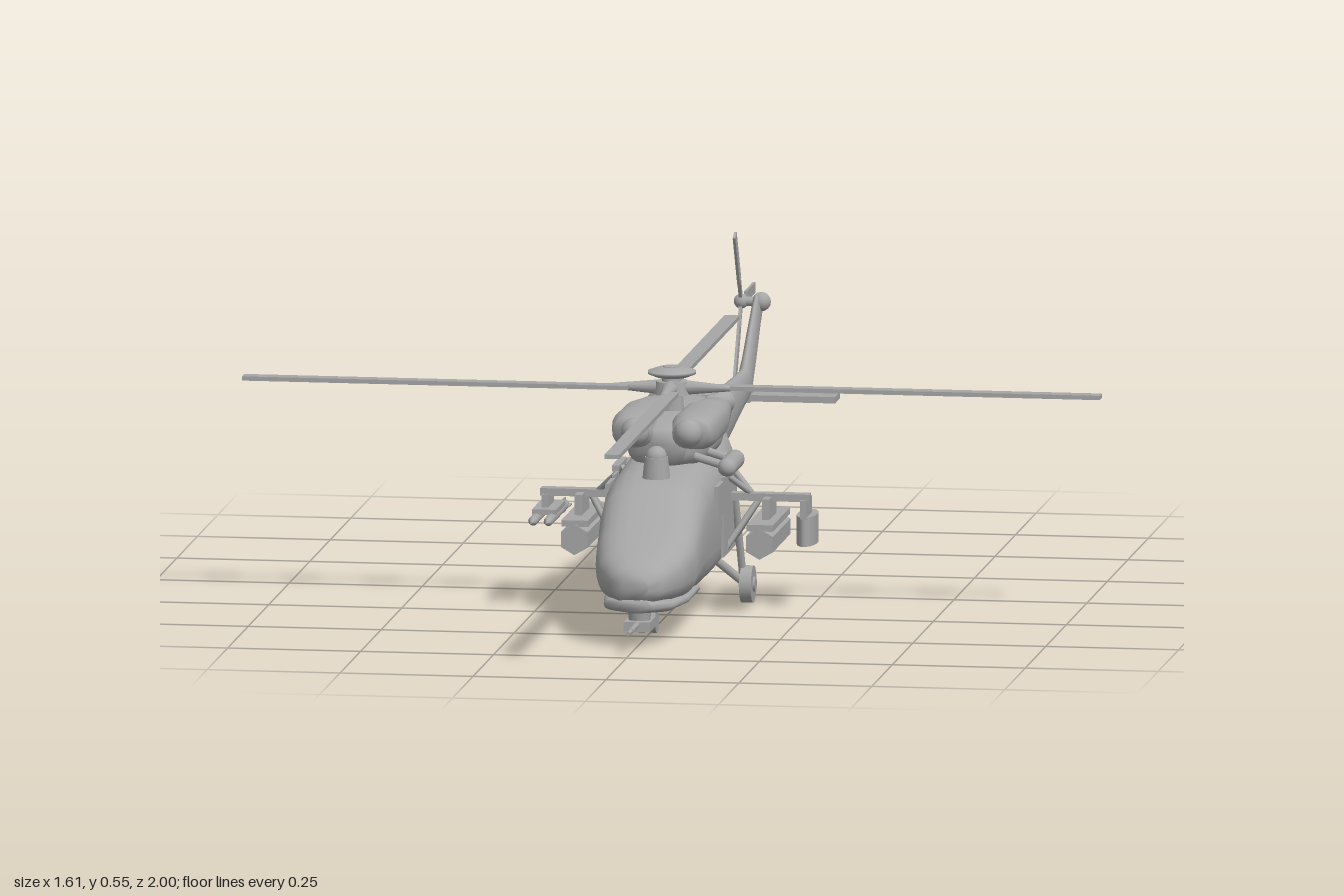
import * as THREE from 'three';

const grey = new THREE.MeshStandardMaterial({ color: 0xa6a6a6 });
grey.name = 'airframe grey';

export function createModel() {
  const model = new THREE.Group();
  const add = (name, geo, x = 0, y = 0, z = 0, parent = model) => {
    const m = new THREE.Mesh(geo, grey);
    m.name = name;
    m.position.set(x, y, z);
    parent.add(m);
    return m;
  };
  const box = (w, h, d) => new THREE.BoxGeometry(w, h, d);
  const cyl = (r1, r2, h, n = 16) => new THREE.CylinderGeometry(r1, r2, h, n);
  const alongZ = (r1, r2, h, n) => cyl(r1, r2, h, n).rotateX(Math.PI / 2);
  // Round bar between two points
  const strut = (name, a, b, r = 0.006) => {
    const p = new THREE.Vector3(...a), q = new THREE.Vector3(...b);
    const m = add(name, cyl(r, r, p.distanceTo(q), 8));
    m.position.copy(p).add(q).multiplyScalar(0.5);
    m.quaternion.setFromUnitVectors(new THREE.Vector3(0, 1, 0), q.sub(p).normalize());
    return m;
  };

  // Skin over rounded sections [z, bottom, top, halfWidth, squareness], front to back
  const loft = (sections, n = 28) => {
    const pos = [], idx = [];
    const power = (v, e) => Math.sign(v) * Math.abs(v) ** (2 / e);
    for (const [z, y0, y1, w, e] of sections)
      for (let j = 0; j < n; j++) {
        const a = (j / n) * Math.PI * 2;
        pos.push(w * power(Math.cos(a), e), (y0 + y1) / 2 + (y1 - y0) / 2 * power(Math.sin(a), e), z);
      }
    for (let i = 0; i < sections.length - 1; i++)
      for (let j = 0; j < n; j++) {
        const k = (j + 1) % n, a = i * n, b = a + n;
        idx.push(a + j, b + j, b + k, a + j, b + k, a + k);
      }
    const last = (sections.length - 1) * n;
    for (let j = 1; j < n - 1; j++) idx.push(0, j, j + 1, last, last + j + 1, last + j);
    const g = new THREE.BufferGeometry();
    g.setAttribute('position', new THREE.Float32BufferAttribute(pos, 3));
    g.setIndex(idx);
    g.computeVertexNormals();
    return g;
  };

  // Fuselage running into the tail boom and swept fin
  add('fuselage', loft([
    [0.645, 0.095, 0.135, 0.025, 2.2], [0.63, 0.082, 0.152, 0.05, 2.4],
    [0.58, 0.075, 0.175, 0.08, 2.6], [0.51, 0.07, 0.2, 0.095, 2.9],
    [0.43, 0.067, 0.268, 0.1, 3], [0.37, 0.065, 0.288, 0.102, 3.2],
    [0.25, 0.065, 0.295, 0.102, 3.4], [0.08, 0.065, 0.31, 0.1, 3.2],
    [0.0, 0.075, 0.325, 0.092, 2.8], [-0.06, 0.1, 0.328, 0.077, 2.5],
    [-0.13, 0.145, 0.326, 0.052, 2.2], [-0.2, 0.193, 0.324, 0.032, 2],
    [-0.4, 0.218, 0.319, 0.025, 2], [-0.6, 0.243, 0.313, 0.018, 2],
    [-0.68, 0.248, 0.312, 0.014, 2], [-0.72, 0.25, 0.343, 0.012, 2],
    [-0.77, 0.293, 0.382, 0.011, 2], [-0.83, 0.347, 0.427, 0.009, 2],
    [-0.895, 0.402, 0.412, 0.005, 2]]));
  add('chinFairing', loft([
    [0.64, 0.066, 0.092, 0.03, 2.5], [0.6, 0.062, 0.09, 0.066, 3],
    [0.5, 0.06, 0.085, 0.08, 3], [0.37, 0.062, 0.08, 0.08, 3]], 20));

  // Rotor gearbox cowling and engines
  add('gearboxCowling', loft([
    [0.31, 0.29, 0.36, 0.045, 2.6], [0.26, 0.28, 0.378, 0.075, 3],
    [0.12, 0.28, 0.38, 0.085, 3], [0.03, 0.28, 0.376, 0.075, 2.6],
    [-0.03, 0.28, 0.37, 0.06, 2.4], [-0.08, 0.29, 0.345, 0.04, 2],
    [-0.18, 0.3, 0.328, 0.008, 2]]));
  for (const s of [-1, 1]) {
    add('engineNacelle', loft([
      [0.32, 0.325, 0.382, 0.036, 2.4], [0.28, 0.318, 0.39, 0.044, 2.6],
      [0.15, 0.318, 0.388, 0.044, 2.6], [0.04, 0.325, 0.378, 0.032, 2.2]], 20), s * 0.056);
    add('engineIntakeDome', new THREE.SphereGeometry(0.027, 16, 10), s * 0.05, 0.355, 0.32);
    const exhaust = add('engineExhaust', alongZ(0.018, 0.022, 0.07), s * 0.05, 0.355, -0.015);
    exhaust.rotation.y = -s * 0.35;
    add('exhaustLip', box(0.05, 0.008, 0.06), s * 0.025, 0.366, -0.055);
  }
  add('sensorBase', cyl(0.022, 0.026, 0.04), 0, 0.3, 0.385);
  add('sensorDome', new THREE.SphereGeometry(0.02, 14, 10), 0, 0.32, 0.385);
  add('boomBeacon', cyl(0.012, 0.012, 0.022, 12), 0, 0.326, -0.24);

  // Rescue hoist on one side
  add('rescueHoist', new THREE.CapsuleGeometry(0.018, 0.095, 6, 12).rotateX(Math.PI / 2), 0.123, 0.292, 0.27);
  for (const z of [0.23, 0.31]) strut('hoistArm', [0.06, 0.31, z], [0.123, 0.292, z], 0.008);

  // Main rotor with four blades
  const rotor = new THREE.Group();
  rotor.name = 'mainRotor';
  rotor.position.set(0, 0.42, 0.195);
  model.add(rotor);
  add('rotorMast', cyl(0.017, 0.024, 0.1), 0, -0.01, 0, rotor);
  add('rotorHub', cyl(0.03, 0.034, 0.024), 0, 0, 0, rotor);
  add('rotorCap', new THREE.LatheGeometry([[0, 0.018], [0.03, 0.02], [0.045, 0.026], [0.045, 0.031],
    [0.025, 0.038], [0, 0.041]].map(p => new THREE.Vector2(...p)), 24), 0, 0, 0, rotor);
  for (let i = 0; i < 4; i++) {
    const arm = new THREE.Group();
    arm.name = 'mainBlade';
    arm.rotation.y = i * Math.PI / 2;
    rotor.add(arm);
    add('bladeCuff', alongZ(0.006, 0.017, 0.1, 10), 0, 0, 0.06, arm).scale.y = 0.9;
    add('blade', box(0.028, 0.008, 0.725), 0.011, 0, 0.4425, arm);
  }

  // Tail rotor with three blades
  const tail = new THREE.Group();
  tail.name = 'tailRotor';
  tail.position.set(-0.03, 0.412, -0.842);
  model.add(tail);
  add('tailRotorShaft', cyl(0.009, 0.009, 0.06, 12).rotateZ(Math.PI / 2), 0.02, 0, 0, tail);
  add('tailRotorHub', new THREE.SphereGeometry(0.014, 12, 8), 0, 0, 0, tail);
  add('tailGearbox', new THREE.SphereGeometry(0.018, 12, 8), 0.038, 0, 0, tail);
  for (let i = 0; i < 3; i++) {
    const arm = new THREE.Group();
    arm.name = 'tailBlade';
    arm.rotation.x = i * Math.PI * 2 / 3;
    tail.add(arm);
    add('bladeRoot', box(0.006, 0.01, 0.05), 0, 0, -0.03, arm);
    add('blade', box(0.005, 0.02, 0.11), 0, 0, -0.103, arm);
  }
  add('horizontalStabilizer', box(0.335, 0.012, 0.063), -0.002, 0.25, -0.75);
  add('tailSkid', box(0.012, 0.02, 0.06), 0, 0.252, -0.74);

  for (const s of [-1, 1]) {
    // Stub wing and its bracing
    add('stubWingBeam', box(0.17, 0.014, 0.025), s * 0.168, 0.211, 0.15);
    for (const z of [0.105, 0.2]) {
      strut('upperBrace', [s * 0.09, 0.268, z], [s * 0.145, 0.215, 0.152]);
      strut('lowerBrace', [s * 0.095, 0.11, z], [s * 0.16, 0.21, 0.152]);
    }
    add('upperBraceRail', box(0.014, 0.012, 0.1), s * 0.105, 0.265, 0.152);
    // Six-sided rocket pod
    add('podPylon', box(0.014, 0.055, 0.09), s * 0.176, 0.185, 0.15);
    add('rocketPod', alongZ(0.029, 0.029, 0.215, 6).toNonIndexed(), s * 0.174, 0.138, 0.15).geometry.computeVertexNormals();
    add('podRail', box(0.05, 0.012, 0.21), s * 0.174, 0.168, 0.15);
    add('outerPylon', box(0.012, 0.035, 0.07), s * 0.243, 0.19, 0.135);

    // Main gear
    add('mainWheel', cyl(0.035, 0.035, 0.022, 20).rotateZ(Math.PI / 2), s * 0.126, 0.035, 0.088);
    add('wheelHub', cyl(0.014, 0.014, 0.03, 12).rotateZ(Math.PI / 2), s * 0.126, 0.035, 0.088);
    strut('gearAxleArm', [s * 0.07, 0.085, 0.12], [s * 0.122, 0.035, 0.088], 0.008);
    strut('gearShockStrut', [s * 0.118, 0.038, 0.088], [s * 0.108, 0.21, 0.13], 0.007);

    // Nose gear wheel
    add('noseWheel', cyl(0.025, 0.025, 0.012, 18).rotateZ(Math.PI / 2), s * 0.011, 0.03, 0.485);

    // Cabin door and window panels
    add('cabinDoor', box(0.006, 0.15, 0.15), s * 0.1025, 0.185, 0.17);
    add('cabinWindow', box(0.008, 0.06, 0.07), s * 0.1025, 0.225, 0.285);
  }
  strut('noseGearLeg', [0, 0.08, 0.475], [0, 0.03, 0.485], 0.008);

  // Outer stores: oval pod on one side, twin missiles on the other
  add('ovalPod', cyl(0.019, 0.019, 0.055, 20), 0.243, 0.148, 0.117).scale.z = 2.75;
  add('missileRail', box(0.045, 0.01, 0.12), -0.241, 0.178, 0.135);
  for (const x of [-0.256, -0.227]) {
    add('missile', alongZ(0.009, 0.009, 0.2, 12), x, 0.167, 0.13);
    add('missileNose', alongZ(0.002, 0.009, 0.022, 12), x, 0.167, 0.241);
    add('missileFins', box(0.026, 0.003, 0.025), x, 0.167, 0.04);
    add('missileFins', box(0.003, 0.026, 0.025), x, 0.167, 0.04);
  }

  // Chin gun
  add('gunTurret', cyl(0.024, 0.018, 0.045), 0, 0.052, 0.59);
  add('gunBody', box(0.05, 0.018, 0.07), 0, 0.038, 0.59);
  add('gunBarrel', alongZ(0.004, 0.006, 0.12, 10), 0, 0.042, 0.67);
  add('gunMuzzle', alongZ(0.006, 0.006, 0.02, 10), 0, 0.042, 0.69);

  return model;
}
